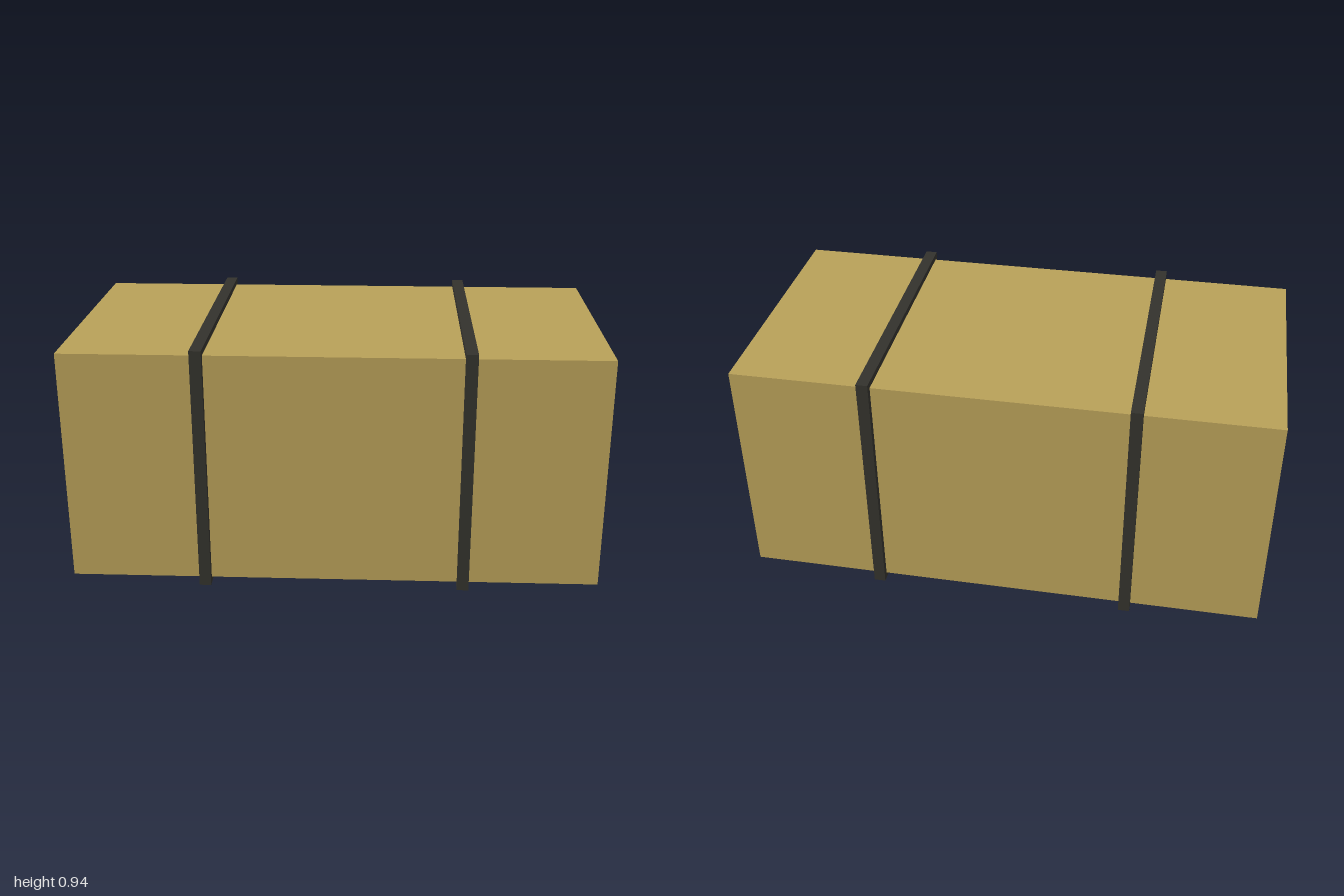
import * as THREE from 'three';

const straw = new THREE.MeshStandardMaterial({ name: 'straw', color: 0xb8a058 });
const darkTwine = new THREE.MeshStandardMaterial({ name: 'darkTwine', color: 0x33322c });

const LENGTH = 2, DEPTH = 1, HEIGHT = 0.89;
const BAND = 0.0235; // how far the bands stand out from the bale
const BAND_WIDTH = 0.044;
const CENTRE_Y = HEIGHT / 2 + BAND;

// Rectangle centred on the origin, traced on a Shape or Path
function rectangle(path, width, height) {
  const w = width / 2, h = height / 2;
  path.moveTo(-w, -h);
  path.lineTo(w, -h);
  path.lineTo(w, h);
  path.lineTo(-w, h);
  path.closePath();
  return path;
}

export function createModel() {
  const model = new THREE.Group();
  model.name = 'strappedBale';

  // Solid bale
  const bale = new THREE.Mesh(new THREE.BoxGeometry(LENGTH, HEIGHT, DEPTH), straw);
  bale.name = 'bale';
  bale.position.y = CENTRE_Y;
  model.add(bale);

  // Rectangular bands wrapped around the bale
  const frame = rectangle(new THREE.Shape(), DEPTH + 2 * BAND, HEIGHT + 2 * BAND);
  frame.holes.push(rectangle(new THREE.Path(), DEPTH, HEIGHT));
  const bandGeometry = new THREE.ExtrudeGeometry(frame, { depth: BAND_WIDTH, bevelEnabled: false });
  bandGeometry.translate(0, 0, -BAND_WIDTH / 2);
  bandGeometry.rotateY(Math.PI / 2);

  for (const [name, x] of [['leftBand', 0.49], ['rightBand', -0.49]]) {
    const band = new THREE.Mesh(bandGeometry, darkTwine);
    band.name = name;
    band.position.set(x, CENTRE_Y, 0);
    model.add(band);
  }

  return model;
}
